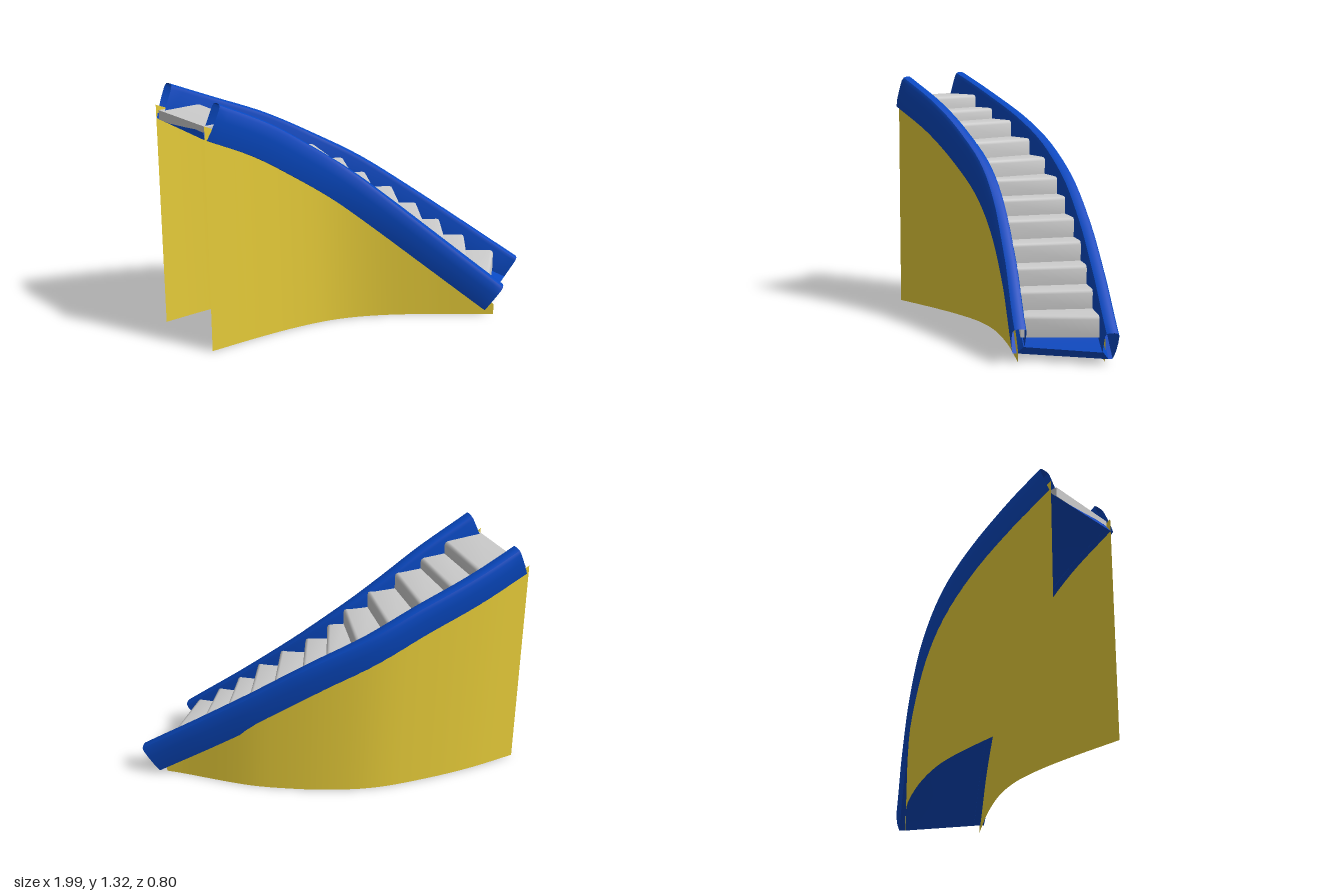
import * as THREE from 'three';
import { toCreasedNormals } from 'three/addons/utils/BufferGeometryUtils.js';

const V = (x, y, z) => new THREE.Vector3(x, y, z);
const { lerp, smoothstep } = THREE.MathUtils;
const blue = new THREE.MeshStandardMaterial({ color: 0x0848c0, side: THREE.DoubleSide });
const yellow = new THREE.MeshStandardMaterial({ color: 0xeacf3a, side: THREE.DoubleSide });
const grey = new THREE.MeshStandardMaterial({ color: 0xcccccc });

// Lower edge of each rail, from the top of the flight to its foot
const curve = (pts) => new THREE.CatmullRomCurve3(pts.map((p) => V(...p)), false, 'centripetal');
const frontPath = curve([[-0.76, 1.13, 0.382], [-0.52, 0.995, 0.25], [-0.31, 0.845, 0.148], [-0.11, 0.695, 0.077],
  [0.1, 0.525, 0.048], [0.4, 0.283, 0.06], [0.72, 0.03, 0.1]]);
const backPath = curve([[-0.985, 1.14, 0.015], [-0.75, 1.025, -0.12], [-0.5, 0.91, -0.235], [-0.25, 0.77, -0.325],
  [0, 0.63, -0.363], [0.3, 0.43, -0.367], [0.6, 0.225, -0.343], [0.9, 0.02, -0.305]]);
const SEGMENTS = 32;

// Joins cross-sections into a skin; closed sections are also capped
function loft(rings, closed, crease = 0.6) {
  const n = rings[0].length, index = [];
  for (let i = 0; i < rings.length - 1; i++) {
    for (let j = 0; j < (closed ? n : n - 1); j++) {
      const k = (j + 1) % n, a = i * n, b = a + n;
      index.push(a + j, b + j, a + k, a + k, b + j, b + k);
    }
  }
  if (closed) {
    const e = (rings.length - 1) * n;
    for (let j = 1; j < n - 1; j++) index.push(0, j, j + 1, e, e + j + 1, e + j);
  }
  const geo = new THREE.BufferGeometry().setFromPoints(rings.flat());
  geo.setIndex(index);
  return toCreasedNormals(geo, crease);
}

// Point on a path with its tangent, sideways and upward directions
function frame(path, u) {
  const p = path.getPointAt(u), t = path.getTangentAt(u);
  const side = V(-t.z, 0, t.x).normalize();
  const up = side.clone().cross(t);
  up.y += 0.1;
  return { p, t, side, up: up.normalize() };
}
const offset = (f, out, up) => f.p.clone().addScaledVector(f.side, out).addScaledVector(f.up, up);
const stations = (fn) => Array.from({ length: SEGMENTS + 1 }, (_, i) => fn(i / SEGMENTS));

// z of a path at a given x
function zAt(path, x) {
  let lo = 0, hi = 1;
  for (let i = 0; i < 30; i++) {
    const mid = (lo + hi) / 2;
    if (path.getPoint(mid).x < x) lo = mid; else hi = mid;
  }
  return path.getPoint(lo).z;
}

// Hollow rail section: outward offset, height
const railProfile = [[0, 0], [0.02, 0.002], [0.03, 0.05], [0.034, 0.11], [0.034, 0.16], [0.025, 0.177],
  [0.01, 0.182], [-0.015, 0.182], [-0.029, 0.176], [-0.035, 0.16], [-0.035, 0]];

export function createModel() {
  const model = new THREE.Group();
  const add = (name, geo, mat, parent = model) => {
    const mesh = new THREE.Mesh(geo, mat);
    mesh.name = name;
    parent.add(mesh);
  };

  // Rails, slightly lower towards the foot
  for (const [name, path, sign] of [['frontRail', frontPath, 1], ['backRail', backPath, -1]]) {
    add(name, loft(stations((u) => {
      const f = frame(path, u), scale = lerp(1.04, 0.95, u);
      return railProfile.map(([o, h]) => offset(f, o * sign, h * scale));
    }), false, 0.7), blue);
  }

  // Curved walls under the rails, reaching up inside them
  const wallAt = (path, u, out) => {
    const top = offset(frame(path, u), out, 0);
    return [V(top.x, 0, top.z), top.setY(top.y + 0.07)];
  };
  const frontWall = stations((u) => wallAt(frontPath, u, 0));
  frontWall.push([V(0.77, 0, 0.108), V(0.77, 0.06, 0.108)]);
  add('frontWall', loft(frontWall, false), yellow);
  add('backWall', loft(stations((u) => wallAt(backPath, u * 0.985, lerp(-0.025, 0.01, smoothstep(u, 0.7, 1)))), false), yellow);

  // Sloping floor between the rails
  add('floor', loft(stations((u) => {
    const f = frame(frontPath, u), b = frame(backPath, u);
    const thick = lerp(0.03, 0.045, smoothstep(u, 0.95, 1));
    return [offset(b, 0, 0), offset(f, 0, 0), offset(f, -0.03, thick), offset(b, 0.03, thick)];
  }), true), blue);

  // Steps: nosing x at the front and back rail, and tread height
  const frontX = [0.745, 0.627, 0.512, 0.4, 0.275, 0.14, 0.025, -0.055, -0.175, -0.312, -0.44, -0.56, -0.75];
  const backX = [0.855, 0.685, 0.545, 0.412, 0.275, 0.123, -0.003, -0.168, -0.33, -0.49, -0.65, -0.78, -0.983];
  const treadY = [0.22, 0.315, 0.41, 0.51, 0.61, 0.7, 0.79, 0.88, 0.97, 1.06, 1.12, 1.19];
  const steps = new THREE.Group();
  steps.name = 'steps';
  model.add(steps);
  treadY.forEach((y, i) => {
    const last = i === treadY.length - 1;
    const bottom = i ? treadY[i - 1] - 0.01 : 0.115;
    const ring = (path, xs, inset) => {
      const nose = V(xs[i], 0, zAt(path, xs[i]) + inset);
      const rear = V(xs[i + 1], 0, zAt(path, xs[i + 1]) + inset);
      const length = nose.distanceTo(rear);
      const at = (d, h) => nose.clone().lerp(rear, d / length).setY(h);
      const end = length + (last ? 0 : 0.02);
      return [at(end, y - (last ? 0.05 : 0.02)), at(0, bottom), at(0, y - 0.018),
        at(0.005, y - 0.005), at(0.018, y), at(end, y)];
    };
    add('step' + (i + 1), loft([ring(frontPath, frontX, -0.012), ring(backPath, backX, 0.012)], true, 0.9), grey, steps);
  });

  return model;
}
